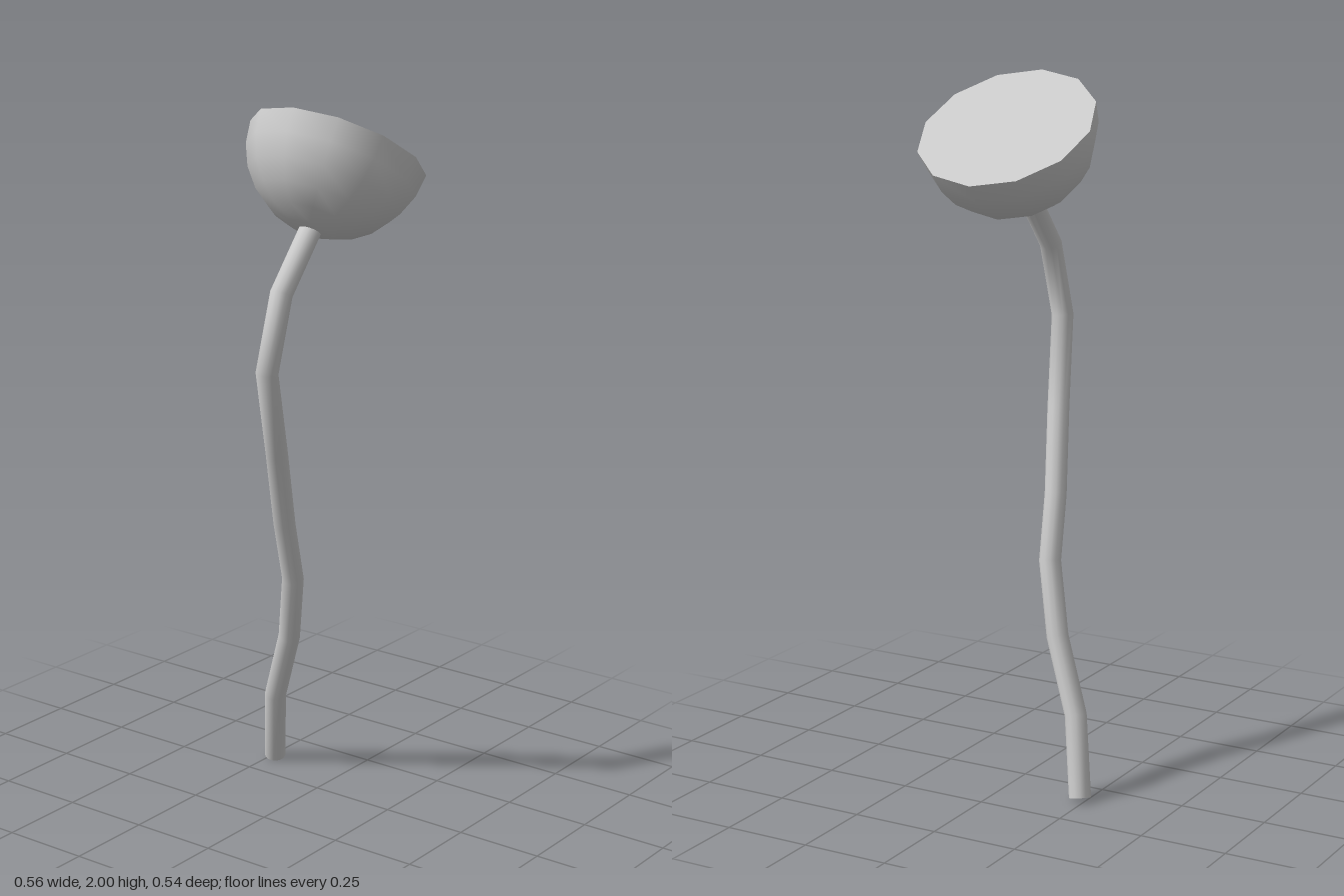
import * as THREE from 'three';
import { toCreasedNormals } from 'three/addons/utils/BufferGeometryUtils.js';

const material = new THREE.MeshStandardMaterial({ color: 0xcccccc });
const UP = new THREE.Vector3(0, 1, 0);

// Bends a capped cylinder so that its rings follow a list of points.
function bentTube(points, radius, sides) {
  const last = points.length - 1;
  const geometry = new THREE.CylinderGeometry(radius, radius, last, sides, last);
  const turns = points.map((p, i) => {
    const before = points[Math.max(i - 1, 0)];
    const after = points[Math.min(i + 1, last)];
    const tangent = new THREE.Vector3();
    if (i > 0) tangent.add(p.clone().sub(before).normalize());
    if (i < last) tangent.add(after.clone().sub(p).normalize());
    return new THREE.Quaternion().setFromUnitVectors(UP, tangent.normalize());
  });
  const position = geometry.attributes.position;
  const v = new THREE.Vector3();
  for (let i = 0; i < position.count; i++) {
    v.fromBufferAttribute(position, i);
    const ring = Math.round(v.y + last / 2);
    v.setY(0).applyQuaternion(turns[ring]).add(points[ring]);
    position.setXYZ(i, v.x, v.y, v.z);
  }
  return toCreasedNormals(geometry, 1.2);
}

export function createModel() {
  const model = new THREE.Group();

  // Crooked stem, from the foot up into the base of the cup
  const path = [
    [0.105, 0.01, -0.235],
    [0.053, 0.23, -0.192],
    [0.02, 0.44, -0.115],
    [-0.03, 0.64, -0.063],
    [-0.085, 0.82, -0.05],
    [-0.165, 1.05, -0.014],
    [-0.25, 1.3, 0.02],
    [-0.2, 1.51, 0.031],
    [-0.05, 1.676, 0.025],
  ].map((p) => new THREE.Vector3(...p));
  const stem = new THREE.Mesh(bentTube(path, 0.031, 12), material);
  stem.name = 'stem';
  model.add(stem);

  // Half-ball cup with a flat closed top, tilted towards +x
  const radius = 0.25;
  const rings = 6;
  const profile = [];
  for (let i = 0; i <= rings; i++) {
    const a = (i / rings) * Math.PI / 2;
    profile.push(new THREE.Vector2(radius * Math.sin(a), -radius * Math.cos(a)));
  }
  profile.push(new THREE.Vector2(0, 0));
  const cup = new THREE.Mesh(toCreasedNormals(new THREE.LatheGeometry(profile, 12), 1.0), material);
  cup.name = 'cup';
  cup.rotation.set(0, 0.033, -0.578, 'YXZ');
  cup.position.set(0.068, 1.863, 0.02);
  model.add(cup);

  return model;
}
